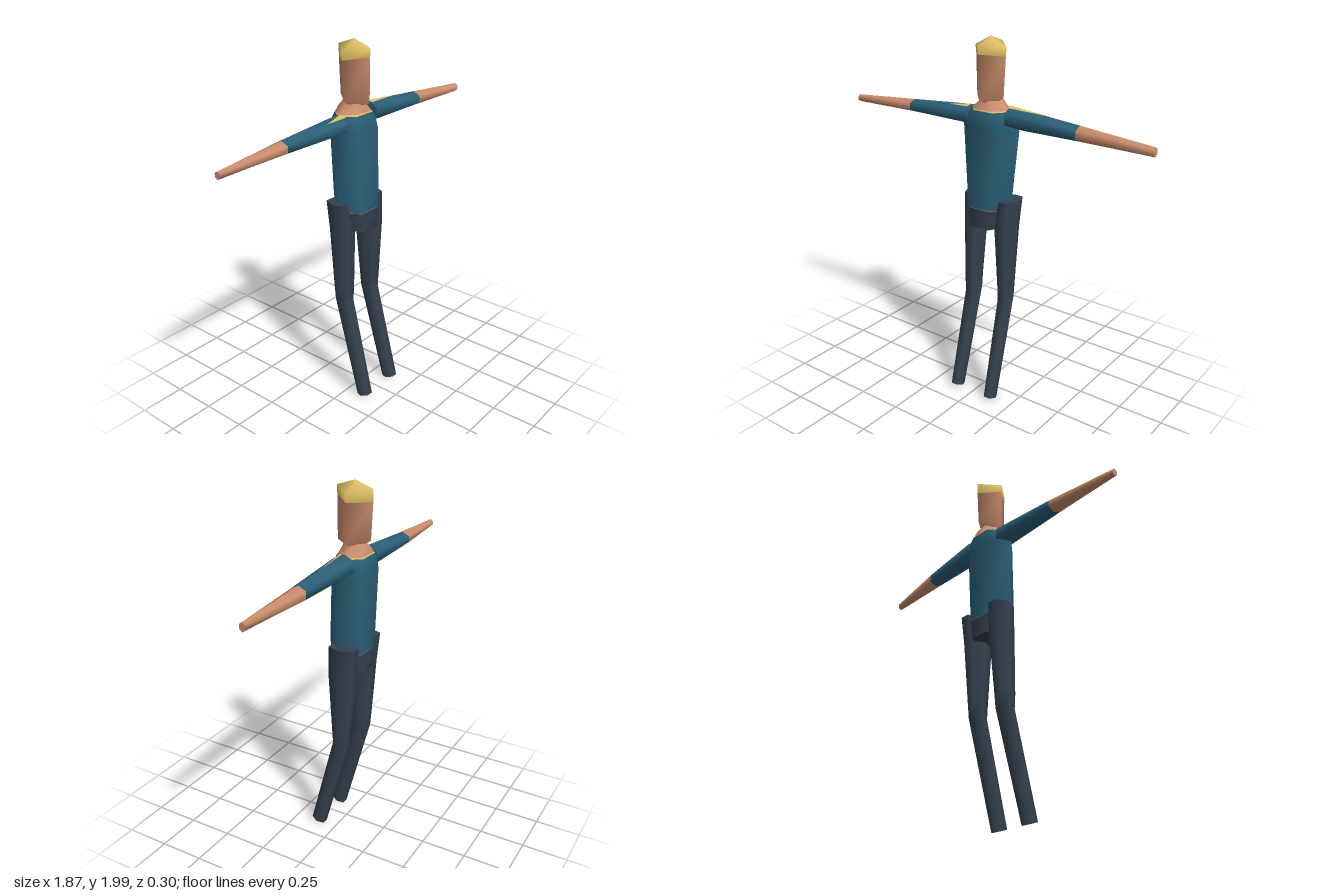
import * as THREE from 'three';

const paint = (name, color, side = THREE.FrontSide) => {
  const m = new THREE.MeshStandardMaterial({ color, side });
  m.name = name;
  return m;
};

// Corners of a polygon, scaled to fill -1..1 both ways
function polygon(sides, phase) {
  const pts = [];
  for (let i = 0; i < sides; i++) {
    const a = phase + (i / sides) * Math.PI * 2;
    pts.push([Math.sin(a), Math.cos(a)]);
  }
  const mx = Math.max(...pts.map(p => Math.abs(p[0])));
  const mz = Math.max(...pts.map(p => Math.abs(p[1])));
  return pts.map(([s, c]) => [s / mx, c / mz]);
}
const hexFlat = polygon(6, Math.PI / 6);
const diamond = polygon(4, 0);
const mid = (a, b, t) => (a + b) / 2 + ((b - a) / 2) * t;

// Level section; tilt raises its front, peak raises its side corners
const level = (shape, y, x0, x1, z0, z1, tilt = 0, sideRise = 0) =>
  shape.map(([s, c]) => [mid(x0, x1, s), y + tilt * c + sideRise * Math.abs(s), mid(z0, z1, c)]);
// Upright section across an arm
const upright = (x, y0, y1, z0, z1) =>
  polygon(6, 0).map(([s, c]) => [x, mid(y0, y1, c), mid(z0, z1, s)]);

// Skin over successive sections, smooth along the sides, with flat or pointed ends
function loft(rings, startCap = true, endCap = true) {
  const n = rings[0].length;
  const pos = rings.flat(2);
  const idx = [];
  for (let r = 0; r < rings.length - 1; r++) {
    for (let i = 0; i < n; i++) {
      const a = r * n + i, b = r * n + (i + 1) % n;
      idx.push(a, b, b + n, a, b + n, a + n);
    }
  }
  const cap = (ring, flip) => {
    const base = pos.length / 3;
    pos.push(...ring.flat());
    for (let i = 1; i < n - 1; i++) {
      idx.push(base, base + (flip ? i + 1 : i), base + (flip ? i : i + 1));
    }
  };
  if (startCap) cap(rings[0], true);
  if (endCap) cap(rings[rings.length - 1], false);
  const g = new THREE.BufferGeometry();
  g.setAttribute('position', new THREE.Float32BufferAttribute(pos, 3));
  g.setIndex(idx);
  g.computeVertexNormals();
  return g;
}

export function createModel() {
  const group = new THREE.Group();
  const shirt = paint('teal shirt', 0x2b6078);
  const trousers = paint('slate trousers', 0x36424f);
  const skin = paint('skin', 0xcb8d6c);
  const blond = paint('blond', 0xdcbc62, THREE.DoubleSide);
  const add = (name, geometry, material) => {
    const mesh = new THREE.Mesh(geometry, material);
    mesh.name = name;
    group.add(mesh);
  };

  // Head and hair share a diamond section; the hairline dips at the sides
  const hairline = level(diamond, 1.91, -0.092, 0.092, -0.15, 0.052, 0.01, -0.005);
  add('head', loft([
    level(diamond, 1.65, -0.002, 0.002, -0.052, -0.048),
    level(diamond, 1.7, -0.083, 0.083, -0.14, 0.05, -0.01, -0.005),
    hairline,
  ], true, false), skin);
  add('hair', loft([
    hairline,
    level(diamond, 1.965, -0.096, 0.096, -0.15, 0.054, 0, -0.015),
    level(diamond, 2.0, -0.002, 0.002, -0.052, -0.048),
  ], false, true), blond);

  // Neck flaring into the collar
  add('neck', loft([
    level(hexFlat, 1.632, -0.115, 0.115, -0.128, 0.018),
    level(hexFlat, 1.665, -0.075, 0.075, -0.12, 0.005),
    level(hexFlat, 1.69, -0.04, 0.04, -0.105, 0),
  ]), skin);

  // Torso, collar trim and hips
  add('torso', loft([
    level(hexFlat, 1.11, -0.135, 0.135, -0.13, 0.056),
    level(hexFlat, 1.2, -0.15, 0.15, -0.132, 0.053),
    level(hexFlat, 1.54, -0.178, 0.178, -0.138, 0.034),
    level(hexFlat, 1.6, -0.15, 0.15, -0.136, 0.03),
    level(hexFlat, 1.63, -0.12, 0.12, -0.13, 0.02),
  ]), shirt);
  add('collarTrim', loft([
    level(hexFlat, 1.629, -0.122, 0.122, -0.132, 0.022),
    level(hexFlat, 1.636, -0.116, 0.116, -0.129, 0.019),
  ], false, false), blond);
  add('waistLine', loft([
    level(hexFlat, 1.106, -0.132, 0.132, -0.129, 0.055),
    level(hexFlat, 1.111, -0.132, 0.132, -0.129, 0.055),
  ]), skin);
  add('hips', loft([
    level(hexFlat, 1.0, -0.11, 0.11, -0.13, 0.056),
    level(hexFlat, 1.107, -0.135, 0.135, -0.13, 0.057),
  ]), trousers);

  // Legs, bent at the knee with the feet forward
  const leg = (foot, knee, hip, top, dz) => loft([
    level(hexFlat, 0.017, ...foot, 0.075, 0.15, 0.011),
    level(hexFlat, 0.58, ...knee, -0.08, 0.005),
    level(hexFlat, 0.66, ...knee, -0.088, 0.01),
    level(hexFlat, 1.0, ...hip, -0.115, 0.008 + dz),
    level(hexFlat, 1.16, ...top, -0.13, dz),
  ]);
  add('leftLeg', leg([0.085, 0.155], [0.068, 0.162], [0.05, 0.176], [0.072, 0.18], 0.018), trousers);
  add('rightLeg', leg([-0.147, -0.075], [-0.155, -0.055], [-0.162, -0.035], [-0.165, -0.05], 0), trousers);

  // Arms: sections run from the model's right to its left
  const wrist = (x, y0, y1) => upright(x, y0, y1, -0.056, -0.025);
  const elbow = (x, y0, y1) => upright(x, y0, y1, -0.095, -0.014);
  const shoulder = (x, y0, y1) => upright(x, y0, y1, -0.112, 0.002);
  const rightElbow = elbow(-0.525, 1.537, 1.607);
  const leftElbow = elbow(0.525, 1.545, 1.625);
  add('rightForearm', loft([wrist(-0.935, 1.54, 1.58), rightElbow], true, false), skin);
  add('rightSleeve', loft([rightElbow, shoulder(-0.12, 1.53, 1.637)], false, true), shirt);
  add('leftSleeve', loft([shoulder(0.12, 1.545, 1.66), leftElbow], true, false), shirt);
  add('leftForearm', loft([leftElbow, wrist(0.93, 1.545, 1.592)], false, true), skin);

  // Slim trim along the tops of the shoulders
  const trim = (name, ...corners) => {
    const g = new THREE.BufferGeometry();
    g.setAttribute('position', new THREE.Float32BufferAttribute(corners.flat(), 3));
    g.computeVertexNormals();
    add(name, g, blond);
  };
  trim('leftShoulderTrim', [0.12, 1.663, -0.055], [0.12, 1.655, -0.03], [0.36, 1.642, -0.053]);
  trim('rightShoulderTrim', [-0.12, 1.64, -0.045], [-0.25, 1.629, -0.012], [-0.12, 1.634, -0.002]);

  return group;
}
